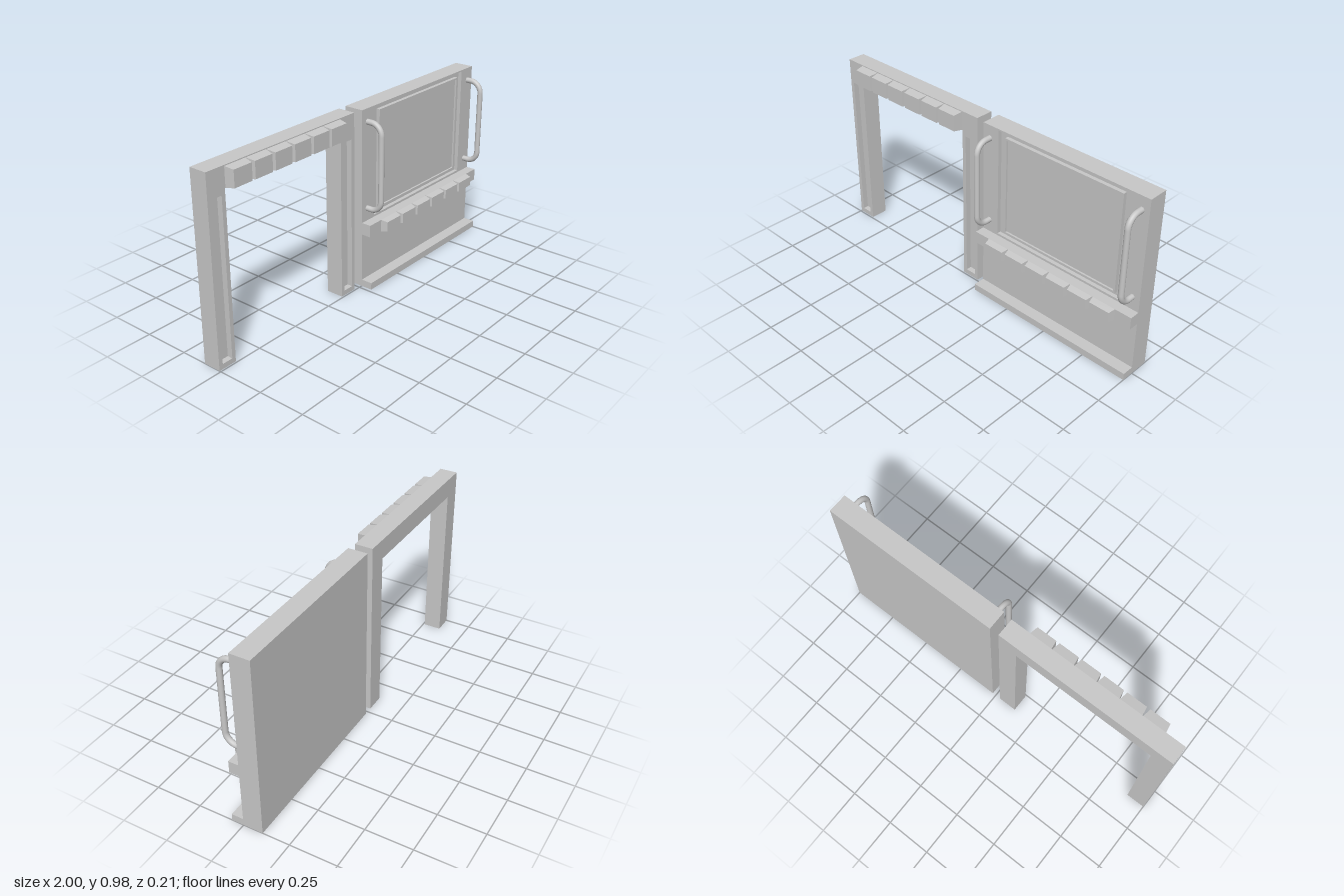
import * as THREE from 'three';

const grey = new THREE.MeshStandardMaterial({ color: 0xc8c8c8 });
grey.name = 'plain grey';

function add(parent, name, geometry) {
  const mesh = new THREE.Mesh(geometry, grey);
  mesh.name = name;
  parent.add(mesh);
  return mesh;
}

// Box given by its limits
function boxGeo(x0, x1, y0, y1, z0, z1) {
  return new THREE.BoxGeometry(x1 - x0, y1 - y0, z1 - z0)
    .translate((x0 + x1) / 2, (y0 + y1) / 2, (z0 + z1) / 2);
}

const corners = (x0, x1, y0, y1) => [[x0, y0], [x1, y0], [x1, y1], [x0, y1]]
  .map(([x, y]) => new THREE.Vector2(x, y));

// Flat plate with rectangular holes, between two depths
function plateGeo(outline, holes, z0, z1) {
  const shape = new THREE.Shape(outline);
  for (const h of holes) shape.holes.push(new THREE.Path(corners(...h).reverse()));
  return new THREE.ExtrudeGeometry(shape, { depth: z1 - z0, bevelEnabled: false })
    .translate(0, 0, z0);
}

// Row of blocks whose front faces are drawn in
function blockRow(parent, name, x0, x1, y0, y1, z0, z1, count, gap) {
  const row = new THREE.Group();
  row.name = name;
  const pitch = (x1 - x0) / count;
  for (let i = 0; i < count; i++) {
    const geo = new THREE.BoxGeometry(pitch - gap, y1 - y0, z1 - z0);
    const p = geo.attributes.position;
    for (let k = 0; k < p.count; k++) {
      if (p.getZ(k) > 0) {
        p.setX(k, p.getX(k) - Math.sign(p.getX(k)) * 0.008);
        p.setY(k, p.getY(k) - Math.sign(p.getY(k)) * 0.007);
      }
    }
    geo.computeVertexNormals();
    add(row, 'block', geo).position.set(x0 + pitch * (i + 0.5), (y0 + y1) / 2, (z0 + z1) / 2);
  }
  parent.add(row);
}

// Bent bar handle with rounded corners
function handleGeo(x) {
  const v = (y, z) => new THREE.Vector3(x, y, z);
  const yLow = 0.44, yHigh = 0.91, z = 0.09, r = 0.06;
  const path = new THREE.CurvePath();
  const arc = (a, b, c) => {
    // Cubic approximation of a quarter circle
    path.add(new THREE.CubicBezierCurve3(a, a.clone().lerp(b, 0.55), c.clone().lerp(b, 0.55), c));
  };
  path.add(new THREE.LineCurve3(v(yLow, -0.005), v(yLow, z - r)));
  arc(v(yLow, z - r), v(yLow, z), v(yLow + r, z));
  path.add(new THREE.LineCurve3(v(yLow + r, z), v(yHigh - r, z)));
  arc(v(yHigh - r, z), v(yHigh, z), v(yHigh, z - r));
  path.add(new THREE.LineCurve3(v(yHigh, z - r), v(yHigh, -0.005)));
  return new THREE.TubeGeometry(path, 80, 0.015, 16, false);
}

export function createModel() {
  const model = new THREE.Group();
  model.name = 'doorAndFrame';
  const back = -0.105, top = 0.98;

  // Door frame: two grooved posts and a lintel
  const frame = new THREE.Group();
  frame.name = 'doorFrame';
  const outline = [[-1, 0], [-0.897, 0], [-0.897, 0.875], [-0.133, 0.875], [-0.133, 0],
    [-0.03, 0], [-0.03, top], [-1, top]].map(([x, y]) => new THREE.Vector2(x, y));
  const grooves = [[-0.978, -0.918, 0.027, 0.847], [-0.112, -0.052, 0.027, 0.847]];
  add(frame, 'frameBack', plateGeo(outline, [], back, -0.038));
  add(frame, 'frameFront', plateGeo(outline, grooves, -0.038, -0.008));
  blockRow(frame, 'lintelBlocks', -0.895, -0.135, 0.875, 0.975, -0.008, 0.04, 6, 0.003);
  model.add(frame);

  // Door slab with a recess around the raised panel
  const door = new THREE.Group();
  door.name = 'door';
  add(door, 'doorBack', boxGeo(0.02, 1, 0, top, back, -0.02));
  add(door, 'doorFront', plateGeo(corners(0.02, 1, 0, top), [[0.12, 0.897, 0.382, 0.972]], -0.02, 0.001));
  add(door, 'panelRim', plateGeo(corners(0.162, 0.86, 0.404, 0.947),
    [[0.172, 0.85, 0.414, 0.937]], -0.02, 0));
  add(door, 'panel', boxGeo(0.172, 0.85, 0.414, 0.937, -0.021, -0.01));

  // Sill and blocked cross bar
  add(door, 'sill', boxGeo(0.02, 1, 0, 0.038, 0, 0.064));
  add(door, 'crossBar', boxGeo(0.02, 1, 0.304, 0.37, 0, 0.055));
  blockRow(door, 'crossBarBlocks', 0.11, 0.91, 0.304, 0.37, 0.055, 0.09, 6, 0.004);

  // Handles
  add(door, 'rightHandle', handleGeo(0.063));
  add(door, 'leftHandle', handleGeo(0.957));
  model.add(door);

  return model;
}
